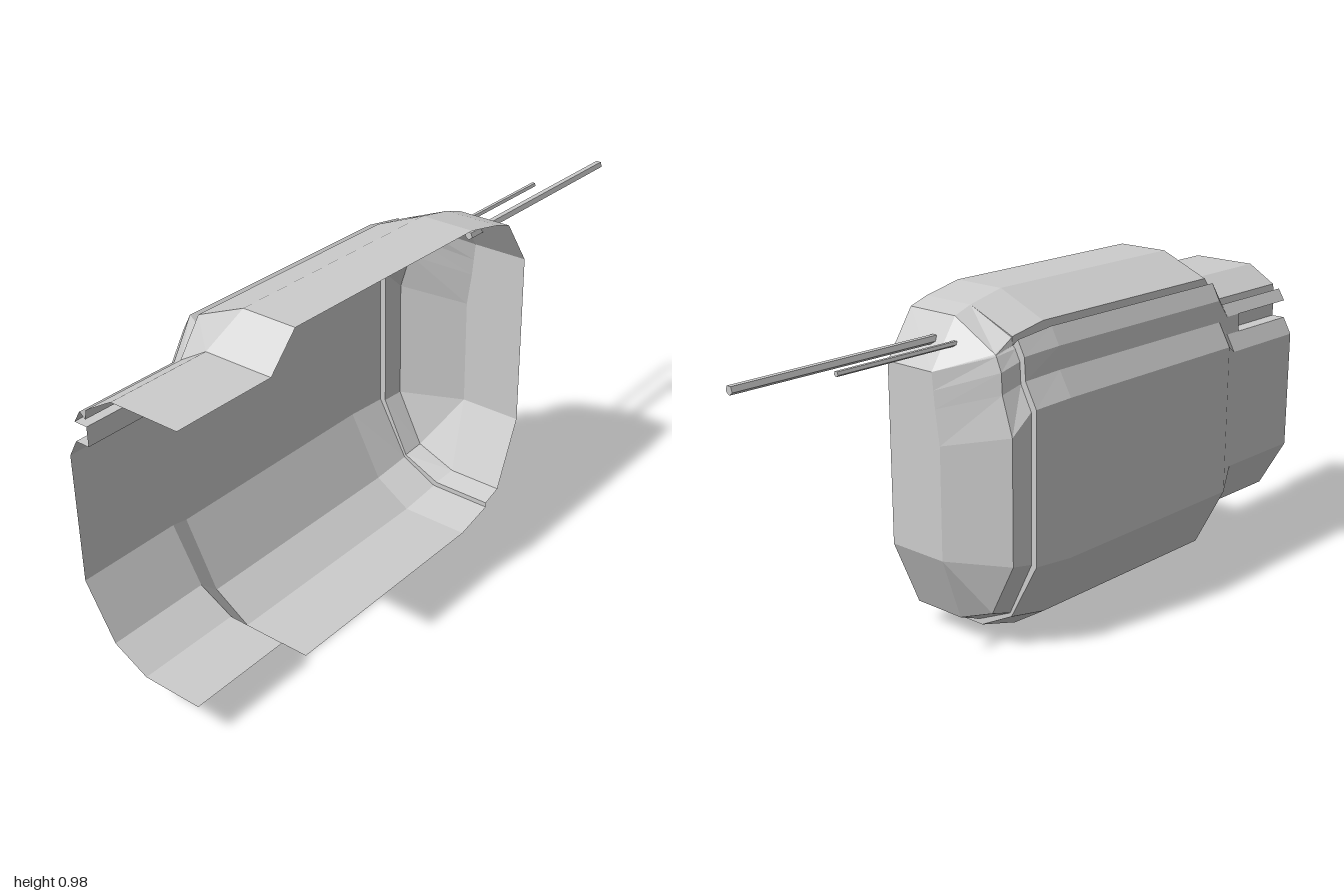
import * as THREE from 'three';

// Cross-sections as [z, y], from the lower front edge round the back to the upper front edge
const NECK = [[.21, .1], [.03, .1], [-.075, .155], [-.165, .31], [-.165, .68], [-.137, .73],
  [-.135, .785], [-.113, .82], [-.095, .805], [-.09, .832], [0, .885], [.21, .885]];
const BODY = [[.21, 0], [0, 0], [-.11, .07], [-.21, .26], [-.21, .72], [-.17, .79],
  [-.167, .855], [-.14, .905], [-.113, .885], [-.11, .915], [.045, .98], [.21, .98]];
const RIM = [[.21, .03], [.015, .03], [-.1, .09], [-.195, .265], [-.195, .71], [-.157, .78],
  [-.153, .845], [-.13, .888], [-.112, .87], [-.11, .893], [.042, .955], [.21, .955]];
const LIP = [[.21, .045], [.025, .045], [-.095, .1], [-.177, .268], [-.177, .7], [-.14, .77],
  [-.137, .83], [-.12, .862], [-.112, .87], [-.108, .89], [.042, .955], [.21, .955]];
const SHOULDER = [[.21, .065], [.04, .065], [-.085, .115], [-.165, .275], [-.165, .64], [-.13, .75],
  [-.127, .81], [-.11, .85], [-.108, .853], [-.105, .856], [.04, .935], [.21, .935]];
const FACE = [[.21, .27], [.015, .27], [.015, .27], [.015, .27], [.015, .6], [.03, .7],
  [.035, .75], [.04, .8], [.04, .8], [.04, .8], [.04, .8], [.21, .8]];

// Adds two points to the ledge; a depth presses them inward as a channel
function withChannel(ring, depth) {
  const [low, high] = [ring[5], ring[6]];
  const floor = [low, high].map(([z, y]) => [depth === undefined ? z : depth, y]);
  return [...ring.slice(0, 6), ...floor, ...ring.slice(6)];
}

const material = new THREE.MeshStandardMaterial({
  color: 0xcccccc, flatShading: true, side: THREE.DoubleSide,
});

// Skins a list of [x, ring] stations
function loft(name, stations) {
  const pos = [];
  for (let s = 0; s < stations.length - 1; s++) {
    const [x0, r0] = stations[s];
    const [x1, r1] = stations[s + 1];
    for (let i = 0; i < r0.length - 1; i++) {
      const corner = (x, [z, y]) => new THREE.Vector3(x, y, z);
      const a = corner(x0, r0[i]), b = corner(x0, r0[i + 1]);
      const c = corner(x1, r1[i]), d = corner(x1, r1[i + 1]);
      for (const tri of [[a, b, c], [b, d, c]]) {
        // Skip slivers where points coincide
        if (new THREE.Triangle(...tri).getArea() < 1e-7) continue;
        for (const v of tri) pos.push(v.x, v.y, v.z);
      }
    }
  }
  const geo = new THREE.BufferGeometry();
  geo.setAttribute('position', new THREE.Float32BufferAttribute(pos, 3));
  geo.computeVertexNormals();
  const mesh = new THREE.Mesh(geo, material);
  mesh.name = name;
  return mesh;
}

// Five-sided rod along x
function rod(name, x0, x1, y, z, radius) {
  const geo = new THREE.CylinderGeometry(radius, radius, x1 - x0, 5);
  geo.rotateZ(-Math.PI / 2);
  geo.rotateX(Math.PI / 2);
  const mesh = new THREE.Mesh(geo, material);
  mesh.position.set((x0 + x1) / 2, y, z);
  mesh.name = name;
  return mesh;
}

export function createModel() {
  const group = new THREE.Group();
  group.name = 'halfShell';

  // Open shell: grooved neck, flared body and tapered rim
  group.add(loft('shell', [
    [-1, withChannel(NECK, -.094)],
    [-.75, withChannel(NECK, -.094)],
    [-.75, withChannel(NECK)],
    [-.69, withChannel(NECK)],
    [-.6, withChannel(BODY)],
    [.12, withChannel(BODY)],
    [.24, withChannel(RIM)],
  ]));

  // End cap: step in from the rim, shoulder, sloped sides and flat face
  group.add(loft('endCap', [
    [.24, RIM],
    [.24, LIP],
    [.3, SHOULDER],
    [.39, FACE],
    [.39, FACE.map(([, y]) => [.21, y])],
  ]));

  group.add(rod('longRod', .29, 1, .873, .083, .013));
  group.add(rod('shortRod', .32, .735, .871, .012, .008));
  return group;
}
